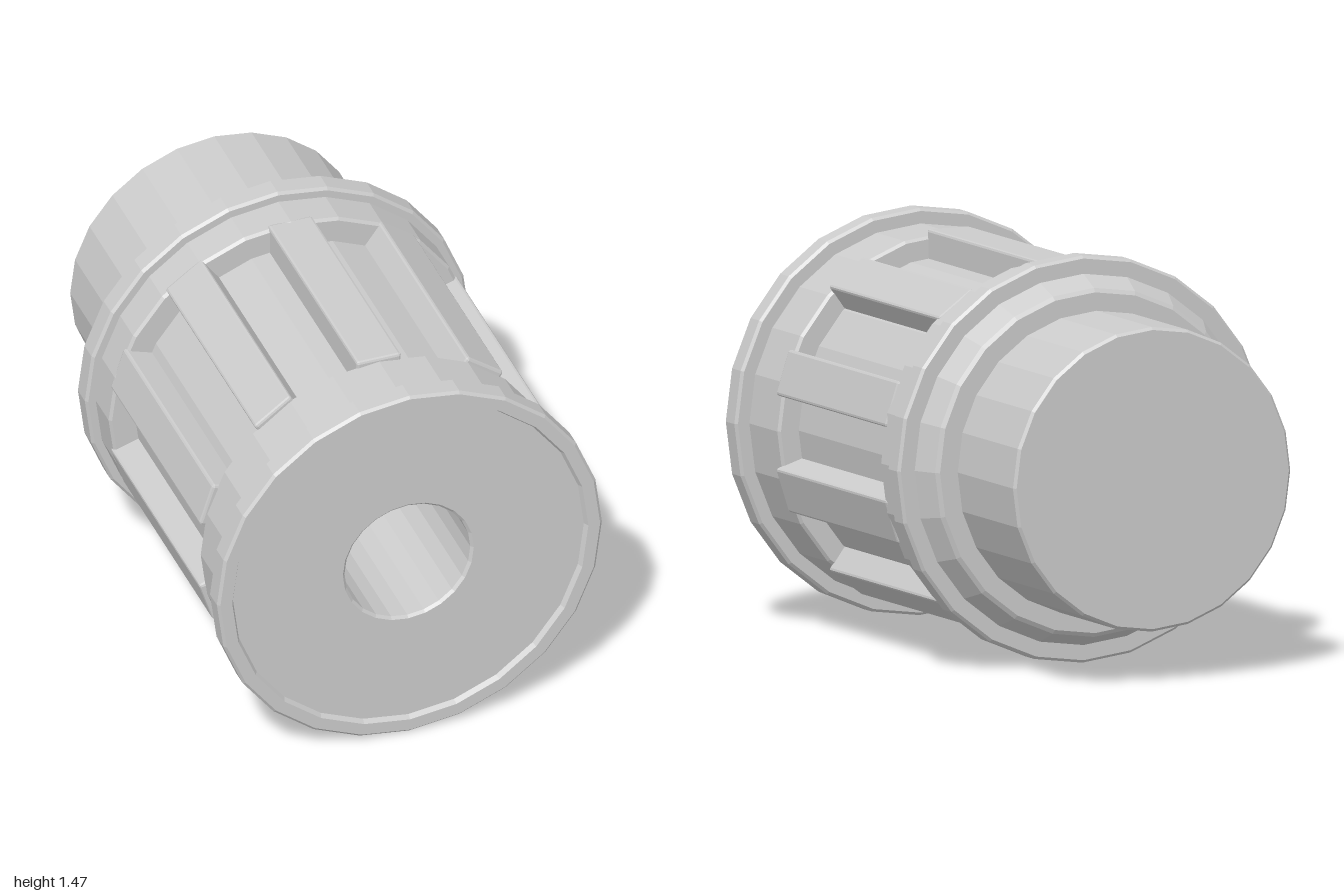
import * as THREE from 'three';
import { RoundedBoxGeometry } from 'three/addons/geometries/RoundedBoxGeometry.js';

const SIDES = 24;
const RIBS = 10;
const AXIS_Y = 0.737;

const material = new THREE.MeshStandardMaterial({ color: 0xcccccc, flatShading: true });

// Turned part along z, from [radius, z] pairs running back to front
function turned(name, profile) {
  const points = profile.map(([r, z]) => new THREE.Vector2(r, z));
  const geometry = new THREE.LatheGeometry(points, SIDES).rotateX(Math.PI / 2);
  const mesh = new THREE.Mesh(geometry, material);
  mesh.name = name;
  return mesh;
}

export function createModel() {
  const model = new THREE.Group();
  model.name = 'ribbedCoupling';
  const body = new THREE.Group();
  body.name = 'body';
  body.position.y = AXIS_Y;
  model.add(body);

  // Plain solid stub at the back
  body.add(turned('rearStub', [
    [0, -1], [0.54, -1], [0.55, -0.99], [0.55, -0.535], [0.54, -0.525],
  ]));

  // Tapered shoulder, flange and collar behind the ribs
  body.add(turned('rearCollar', [
    [0, -0.525], [0.615, -0.525], [0.63, -0.515], [0.67, -0.43],
    [0.725, -0.43], [0.735, -0.42], [0.735, -0.35], [0.725, -0.34],
    [0.697, -0.34], [0.697, -0.21], [0.687, -0.2], [0.59, -0.2],
  ]));

  // Core seen between the ribs
  body.add(turned('core', [[0.6, -0.22], [0.6, 0.69]]));

  // Front collar and flange, shallow dished face and central bore
  body.add(turned('frontCollar', [
    [0.59, 0.67], [0.67, 0.67], [0.68, 0.68], [0.68, 0.91],
    [0.725, 0.91], [0.735, 0.92], [0.735, 0.99], [0.725, 1],
    [0.68, 1], [0.67, 0.98], [0.25, 0.98], [0.24, 0.97],
    [0.24, 0], [0, 0],
  ]));

  // Lengthwise ribs evenly spaced around the core
  const ribGeometry = new RoundedBoxGeometry(0.17, 0.125, 0.91, 1, 0.01);
  ribGeometry.translate(0, 0.632, 0.23);
  for (let i = 0; i < RIBS; i++) {
    const rib = new THREE.Mesh(ribGeometry, material);
    rib.name = `rib${i + 1}`;
    rib.rotation.z = (i / RIBS) * Math.PI * 2;
    body.add(rib);
  }
  return model;
}
